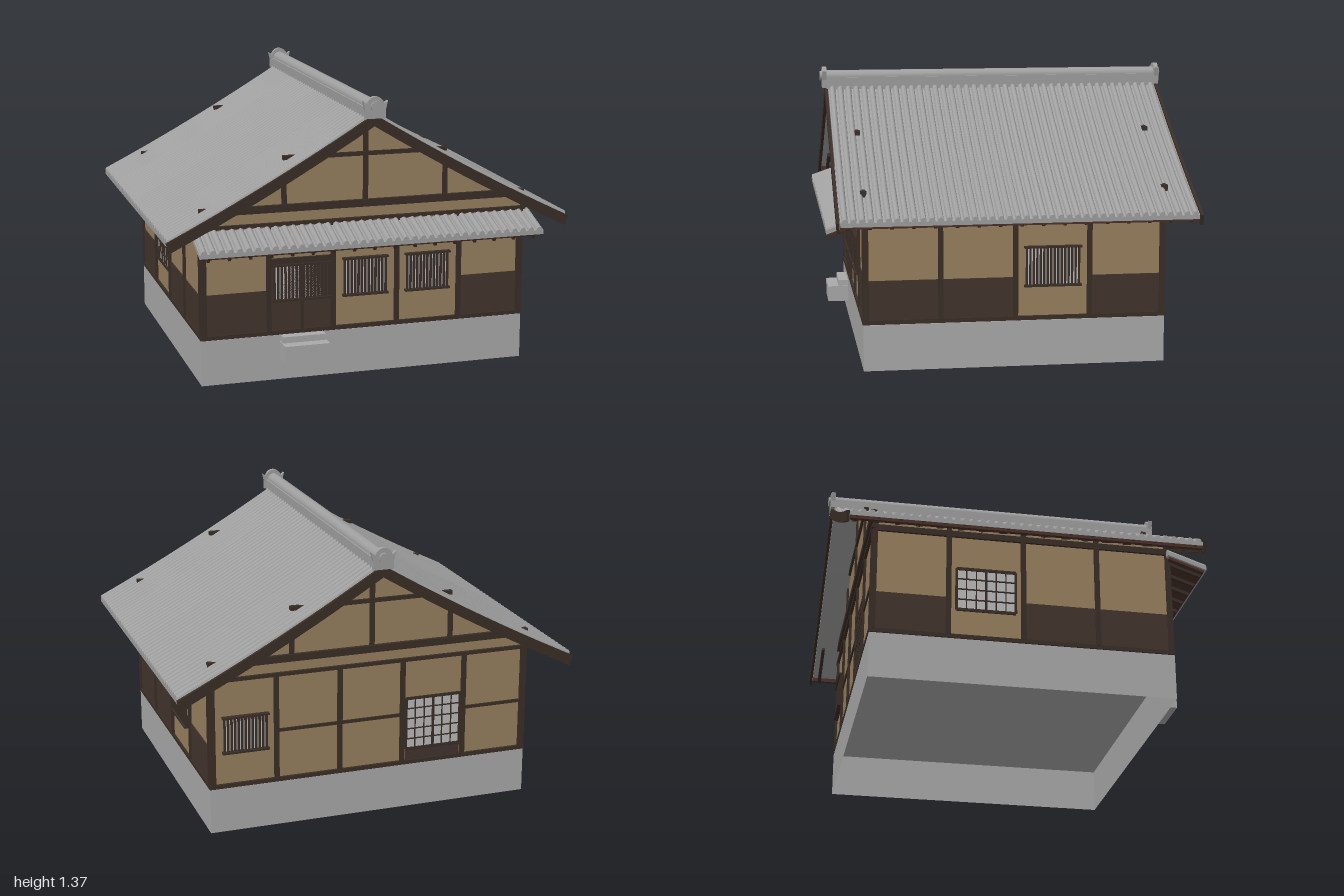
import * as THREE from 'three';
import { toCreasedNormals } from 'three/addons/utils/BufferGeometryUtils.js';

const mat = (name, color, side = THREE.FrontSide) => {
  const m = new THREE.MeshStandardMaterial({ color, side });
  m.name = name;
  return m;
};

export function createModel() {
  const model = new THREE.Group();
  model.name = 'house';
  const stone = mat('stone', 0xaaaaaa, THREE.DoubleSide);
  const plaster = mat('plaster', 0x98805f);
  const wood = mat('darkWood', 0x3a2e27);
  const panelWood = mat('panelWood', 0x42342d);
  const eaveWood = mat('eaveWood', 0x4a3029);
  const tile = mat('roofTile', 0xa0a0a0);
  const paper = mat('paper', 0xbcbcbc);

  const add = (parent, name, geo, m) => {
    const mesh = new THREE.Mesh(geo, m);
    mesh.name = name;
    parent.add(mesh);
    return mesh;
  };
  // box given by its limits
  const box = (parent, name, m, x0, x1, y0, y1, z0, z1) => {
    const b = add(parent, name, new THREE.BoxGeometry(x1 - x0, y1 - y0, z1 - z0), m);
    b.position.set((x0 + x1) / 2, (y0 + y1) / 2, (z0 + z1) / 2);
    return b;
  };
  // height of the roof surface
  const roofY = x => 1.285 - 0.615 * Math.abs(x) + 0.065 * x * x;
  const roofLine = (x0, x1, drop, n = 16) => Array.from({ length: n + 1 }, (_, i) => {
    const x = x0 + (x1 - x0) * i / n;
    return new THREE.Vector2(x, roofY(x) - drop);
  });
  const extrude = (shape, depth, z) =>
    new THREE.ExtrudeGeometry(shape, { depth, bevelEnabled: false, curveSegments: 12 }).translate(0, 0, z);

  // Hollow stone foundation
  for (const s of [-1, 1]) {
    const side = add(model, 'foundationSide', new THREE.PlaneGeometry(1.44, 0.22), stone);
    side.rotation.y = s * Math.PI / 2;
    side.position.set(s * 0.808, 0.11, -0.01);
    const end = add(model, 'foundationEnd', new THREE.PlaneGeometry(1.616, 0.22), stone);
    end.rotation.y = s > 0 ? 0 : Math.PI;
    end.position.set(0, 0.11, -0.01 + s * 0.72);
  }
  const floor = add(model, 'floor', new THREE.PlaneGeometry(1.616, 1.44), stone);
  floor.rotation.x = Math.PI / 2;
  floor.position.set(0, 0.218, -0.01);
  box(model, 'lowerStep', stone, -0.43, -0.21, 0.115, 0.195, 0.72, 0.825);
  box(model, 'upperStep', stone, -0.425, -0.215, 0.195, 0.225, 0.72, 0.77);

  // Walls with gables
  const body = new THREE.Shape([
    new THREE.Vector2(-0.8, 0.222), new THREE.Vector2(0.8, 0.222), ...roofLine(0.8, -0.8, 0.03),
  ]);
  add(model, 'walls', extrude(body, 1.42, -0.72), plaster);
  box(model, 'sillBeam', wood, -0.81, 0.81, 0.222, 0.242, -0.733, 0.713);

  // One group per facade: x runs along the wall, z points outwards
  const facade = (name, x, z, turn) => {
    const g = new THREE.Group();
    g.name = name;
    g.position.set(x, 0, z);
    g.rotation.y = turn;
    model.add(g);
    return g;
  };
  const front = facade('frontFacade', 0, 0.7, 0);
  const back = facade('backFacade', 0, -0.72, Math.PI);
  const left = facade('leftFacade', 0.8, -0.01, Math.PI / 2);
  const right = facade('rightFacade', -0.8, -0.01, -Math.PI / 2);

  const lowerPanel = (g, u0, u1, top = 0.43) => box(g, 'lowerPanel', panelWood, u0, u1, 0.24, top, 0, 0.004);
  const barredWindow = (g, u, y0, y1, w, bars = 12) => {
    const h = w / 2;
    box(g, 'windowPane', paper, u - h, u + h, y0, y1, 0, 0.004);
    for (let i = 0; i <= bars; i++) {
      const x = u - h + w * i / bars;
      box(g, 'windowBar', wood, x - 0.0045, x + 0.0045, y0, y1, 0.004, 0.016);
    }
    for (const y of [y0, y1]) box(g, 'windowRail', wood, u - h - 0.012, u + h + 0.012, y - 0.005, y + 0.005, 0, 0.024);
  };
  const paperScreen = (g, u, y0, y1, w, cols, rows) => {
    box(g, 'screenPaper', paper, u - w / 2, u + w / 2, y0, y1, 0, 0.004);
    for (let i = 0; i <= cols; i++) {
      const x = u - w / 2 + w * i / cols, t = i % (cols / 2) ? 0.0025 : 0.006;
      box(g, 'screenPost', wood, x - t, x + t, y0, y1, 0.003, 0.01);
    }
    for (let i = 0; i <= rows; i++) {
      const y = y0 + (y1 - y0) * i / rows, t = i % rows ? 0.0025 : 0.007;
      box(g, 'screenRail', wood, u - w / 2, u + w / 2, y - t, y + t, 0.003, 0.01);
    }
  };

  // Posts and gable timbers
  const bays = [-0.79, -0.477, -0.16, 0.16, 0.477, 0.79];
  for (const g of [front, back]) {
    for (const u of bays) box(g, 'post', wood, u - 0.012, u + 0.012, 0.24, 0.77, -0.005, 0.012);
    box(g, 'wallBeam', wood, -0.82, 0.82, 0.752, 0.77, -0.005, 0.014);
    box(g, 'gableBeam', wood, -0.808, 0.808, 0.82, 0.855, -0.012, 0.018);
    box(g, 'gableRail', wood, -0.405, 0.405, 1.066, 1.086, -0.012, 0.012);
    for (const u of [-0.4, 0, 0.4])
      box(g, 'gablePost', wood, u - 0.012, u + 0.012, 0.85, roofY(u) - 0.03, -0.005, 0.01);
  }
  for (const g of [left, right]) {
    for (const u of [-0.705, -0.355, 0, 0.355, 0.705])
      box(g, 'post', wood, u - 0.012, u + 0.012, 0.24, 0.8, -0.005, 0.012);
    box(g, 'wallBeam', wood, -0.715, 0.715, 0.745, 0.775, -0.005, 0.012);
  }

  // Front: panels, lattice door and two windows
  lowerPanel(front, -0.78, -0.485, 0.44);
  lowerPanel(front, 0.485, 0.78, 0.44);
  lowerPanel(front, -0.47, -0.17, 0.59);
  box(front, 'doorLintel', wood, -0.47, -0.17, 0.565, 0.595, 0, 0.014);
  barredWindow(front, -0.315, 0.39, 0.562, 0.27, 15);
  box(front, 'doorStile', wood, -0.322, -0.308, 0.24, 0.57, 0, 0.018);
  barredWindow(front, 0, 0.39, 0.57, 0.205);
  barredWindow(front, 0.315, 0.39, 0.57, 0.205);
  // Back: window, paper door and middle rails
  barredWindow(back, -0.63, 0.4, 0.575, 0.205);
  paperScreen(back, 0.32, 0.3, 0.56, 0.28, 6, 5);
  box(back, 'doorBase', panelWood, 0.18, 0.46, 0.24, 0.3, 0, 0.009);
  for (const [a, b] of [[-0.47, -0.16], [-0.16, 0.16], [0.48, 0.78]])
    box(back, 'middleRail', wood, a, b, 0.472, 0.488, 0, 0.008);
  // Sides: panels and one window each
  for (const [g, s] of [[left, 1], [right, -1]])
    for (const [a, b] of [[-0.7, -0.36], [-0.35, 0], [0.36, 0.7]])
      lowerPanel(g, Math.min(a * s, b * s), Math.max(a * s, b * s));
  barredWindow(left, 0.178, 0.388, 0.573, 0.25, 15);
  paperScreen(right, -0.178, 0.37, 0.58, 0.28, 6, 4);

  // Corrugated tile sheet following a path of [out, height]
  const tileSheet = (width, count, path, steps) => {
    const shape = new THREE.Shape(), p = width / count;
    shape.moveTo(width / 2, -0.022);
    for (let i = count - 1; i >= 0; i--) {
      const x = -width / 2 + p * i;
      shape.lineTo(x + p, -0.004);
      for (let k = 0; k <= 6; k++) {
        const a = Math.PI * k / 6;
        shape.lineTo(x + p * (0.5 + 0.36 * Math.cos(a)), -0.004 + 0.016 * Math.sin(a));
      }
    }
    shape.lineTo(-width / 2, -0.004);
    shape.lineTo(-width / 2, -0.022);
    const geo = new THREE.ExtrudeGeometry(shape, { depth: 1, steps, bevelEnabled: false });
    const v = geo.attributes.position;
    for (let i = 0; i < v.count; i++) {
      const [x, y] = path(v.getZ(i)), w = v.getX(i);
      v.setXYZ(i, x, y + v.getY(i) * 1.1, -w);
    }
    return toCreasedNormals(geo, 0.7);
  };

  // Main roof: tiles, eave boards and rafters on both slopes
  const slope = t => [t * 0.985, roofY(t * 0.985)];
  const mainTiles = tileSheet(1.67, 42, slope, 8);
  for (const turn of [0, Math.PI]) {
    const g = new THREE.Group();
    g.name = 'roofSlope';
    g.rotation.y = turn;
    g.position.z = -0.015;
    model.add(g);
    add(g, 'roofTiles', mainTiles, tile);
    box(g, 'eaveBoard', eaveWood, 0.955, 0.975, roofY(0.97) - 0.042, roofY(0.97) - 0.022, -0.835, 0.835);
    for (let i = 0; i < 17; i++) {
      const r = add(g, 'rafter', new THREE.BoxGeometry(0.24, 0.02, 0.016), wood);
      r.position.set(0.865, roofY(0.865) - 0.037, -0.8 + i * 0.1);
      r.rotation.z = -Math.atan(0.505);
    }
  }
  // Barge boards
  const barge = new THREE.Shape([...roofLine(-0.99, 0.99, 0.002, 32), ...roofLine(0.975, -0.975, 0.058, 32)]);
  for (const z of [0.823, -0.868]) add(model, 'bargeBoard', extrude(barge, 0.014, z), wood);

  // Ridge with end ornaments
  box(model, 'ridgeBase', tile, -0.042, 0.042, 1.245, 1.315, -0.85, 0.83);
  const cap = add(model, 'ridgeCap', new THREE.CylinderGeometry(0.034, 0.034, 1.68, 12), tile);
  cap.rotation.x = Math.PI / 2;
  cap.position.set(0, 1.315, -0.01);
  const finial = new THREE.Shape();
  finial.moveTo(-0.05, 1.265);
  finial.lineTo(0.05, 1.265);
  finial.lineTo(0.05, 1.305);
  finial.lineTo(0.06, 1.348);
  finial.lineTo(0.042, 1.335);
  finial.absarc(0, 1.325, 0.043, 0.2, Math.PI - 0.2, false);
  finial.lineTo(-0.06, 1.348);
  finial.lineTo(-0.05, 1.305);
  for (const s of [1, -1]) {
    const z = s > 0 ? 0.828 : -0.87;
    add(model, 'ridgeOrnament', extrude(finial, 0.022, z), tile);
    const disc = add(model, 'ornamentDisc', new THREE.CylinderGeometry(0.024, 0.024, 0.012, 16), tile);
    disc.rotation.x = Math.PI / 2;
    disc.position.set(0, 1.322, s > 0 ? 0.855 : -0.875);
  }

  // Small pent roof over the front
  const pent = new THREE.Group();
  pent.name = 'pentRoof';
  model.add(pent);
  const pentTiles = add(pent, 'pentTiles', tileSheet(1.69, 40, t => [0.69 + t * 0.188, 0.752 - t * 0.064], 1), tile);
  pentTiles.rotation.y = -Math.PI / 2;
  const tilt = Math.atan(0.34);
  const deck = add(pent, 'pentDeck', new THREE.BoxGeometry(1.67, 0.012, 0.18), eaveWood);
  deck.position.set(0, 0.689, 0.782);
  deck.rotation.x = tilt;
  for (let i = 0; i < 17; i++) {
    const r = add(pent, 'pentRafter', new THREE.BoxGeometry(0.014, 0.016, 0.17), wood);
    r.position.set(-0.8 + i * 0.1, 0.676, 0.778);
    r.rotation.x = tilt;
  }
  return model;
}
